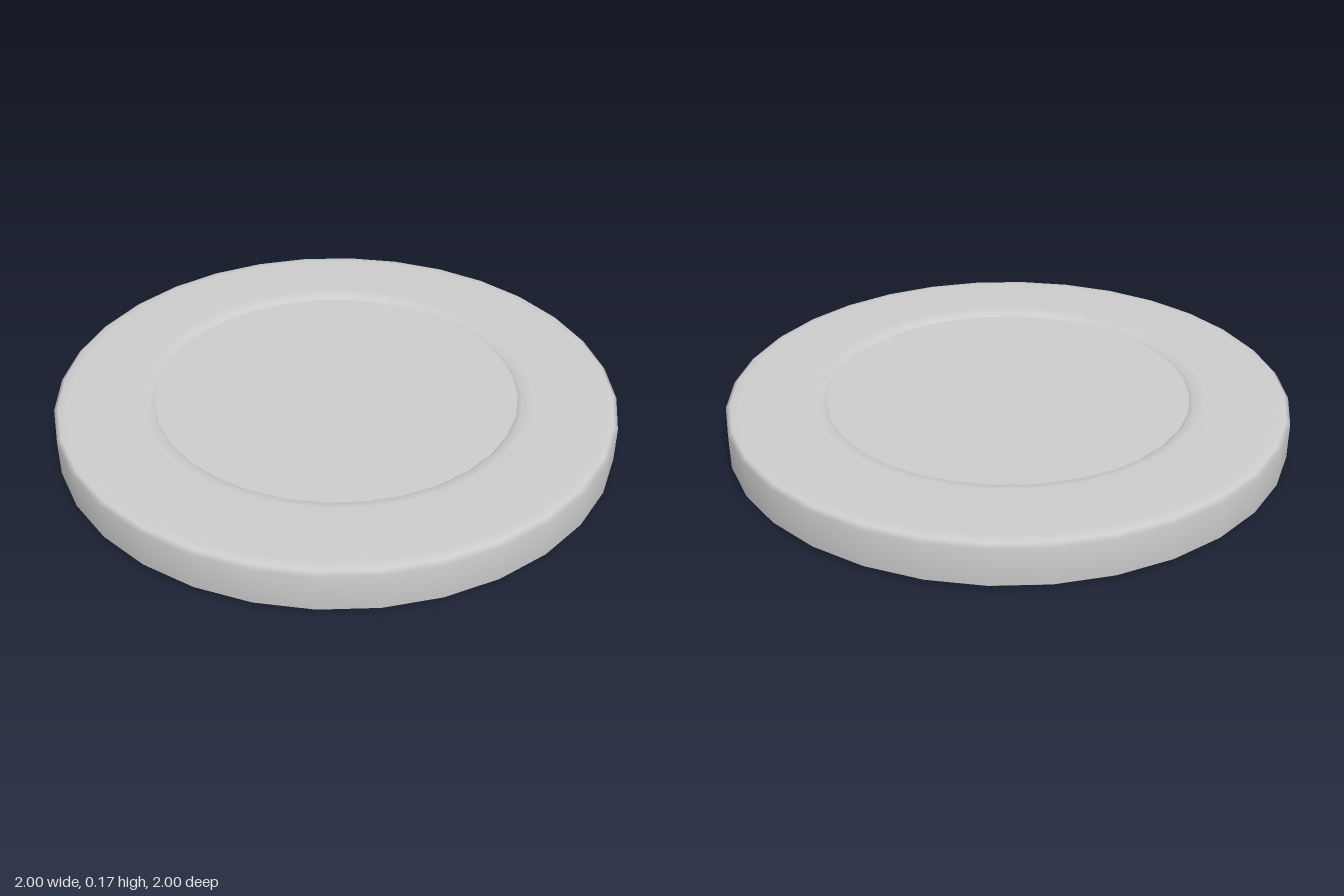
import * as THREE from 'three';

const SEGMENTS = 32;
const HEIGHT = 0.165;
const FLOOR = 0.147; // height of the upper recessed face
const INNER = 0.65;

export function createModel() {
  const group = new THREE.Group();
  group.name = 'roundPlate';
  const material = new THREE.MeshStandardMaterial({ color: 0xcccccc });

  // Broad rim: upper half of the section, bevelled outside and inside
  const upper = [
    [1, FLOOR], [0.985, 0.159], [0.95, HEIGHT],
    [0.7, HEIGHT], [0.665, 0.159], [INNER, FLOOR],
  ];
  const lower = upper.map(([r, y]) => [r, HEIGHT - y]).reverse();
  const profile = [...lower, ...upper].map(([r, y]) => new THREE.Vector2(r, y));
  const rim = new THREE.Mesh(new THREE.LatheGeometry(profile, SEGMENTS), material);
  rim.name = 'rim';
  group.add(rim);

  // Flat recessed faces on the top and the underside
  for (const top of [true, false]) {
    const face = new THREE.Mesh(new THREE.CircleGeometry(INNER, SEGMENTS), material);
    face.name = top ? 'topPanel' : 'bottomPanel';
    face.rotation.x = top ? -Math.PI / 2 : Math.PI / 2;
    face.position.y = top ? FLOOR : HEIGHT - FLOOR;
    group.add(face);
  }
  return group;
}
